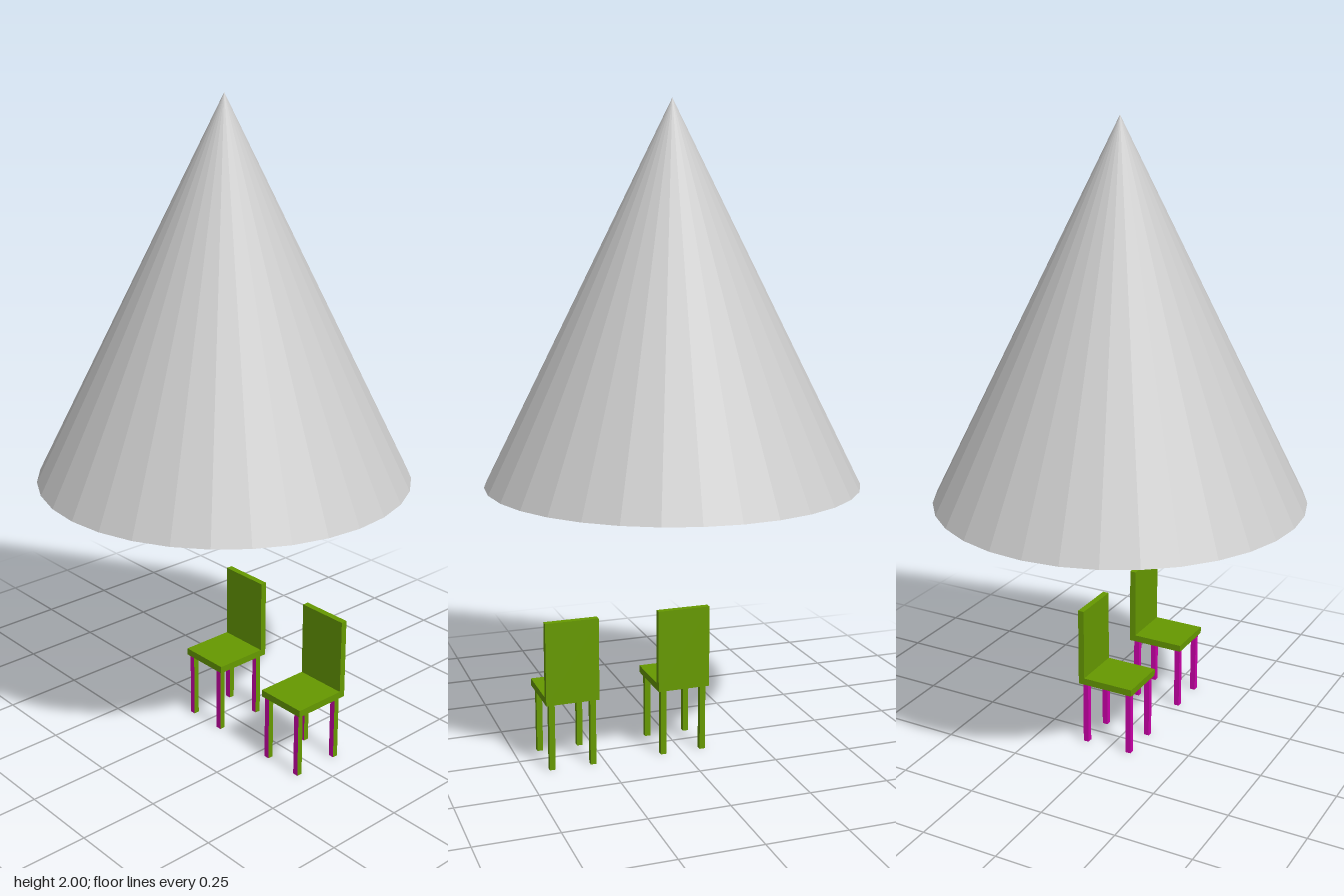
import * as THREE from 'three';

const grey = new THREE.MeshStandardMaterial({ color: 0xcccccc, flatShading: true });
const green = new THREE.MeshStandardMaterial({ color: 0x669900 });
const magenta = new THREE.MeshStandardMaterial({ color: 0xcc00aa });

// Box given by its lower and upper corners
function box(name, [x0, y0, z0], [x1, y1, z1], material) {
  const mesh = new THREE.Mesh(new THREE.BoxGeometry(x1 - x0, y1 - y0, z1 - z0), material);
  mesh.position.set((x0 + x1) / 2, (y0 + y1) / 2, (z0 + z1) / 2);
  mesh.name = name;
  return mesh;
}

function createChair(name, x) {
  const chair = new THREE.Group();
  chair.name = name;
  chair.position.x = x;
  const w = 0.083;
  chair.add(box('seat', [-w, 0.21, -0.086], [w, 0.232, 0.085], green));
  chair.add(box('backrest', [-w, 0.21, -0.106], [w, 0.467, -0.086], green));

  // Square legs, magenta on their -x and +z faces
  const legFaces = [green, magenta, green, green, magenta, green];
  const r = 0.009;
  for (const [end, z] of [['front', 0.07], ['back', -0.085]]) {
    for (const [side, lx] of [['Left', 0.063], ['Right', -0.066]]) {
      chair.add(box(`${end}${side}Leg`, [lx - r, 0, z - r], [lx + r, 0.21, z + r], legFaces));
    }
  }
  return chair;
}

export function createModel() {
  const model = new THREE.Group();
  model.name = 'coneAndChairs';

  // Closed faceted cone floating above the chairs
  const cone = new THREE.Mesh(new THREE.ConeGeometry(0.577, 1.156, 32), grey);
  cone.name = 'cone';
  cone.position.y = 0.844 + 1.156 / 2;
  model.add(cone);

  model.add(createChair('centreChair', -0.001), createChair('leftChair', 0.355));
  return model;
}
